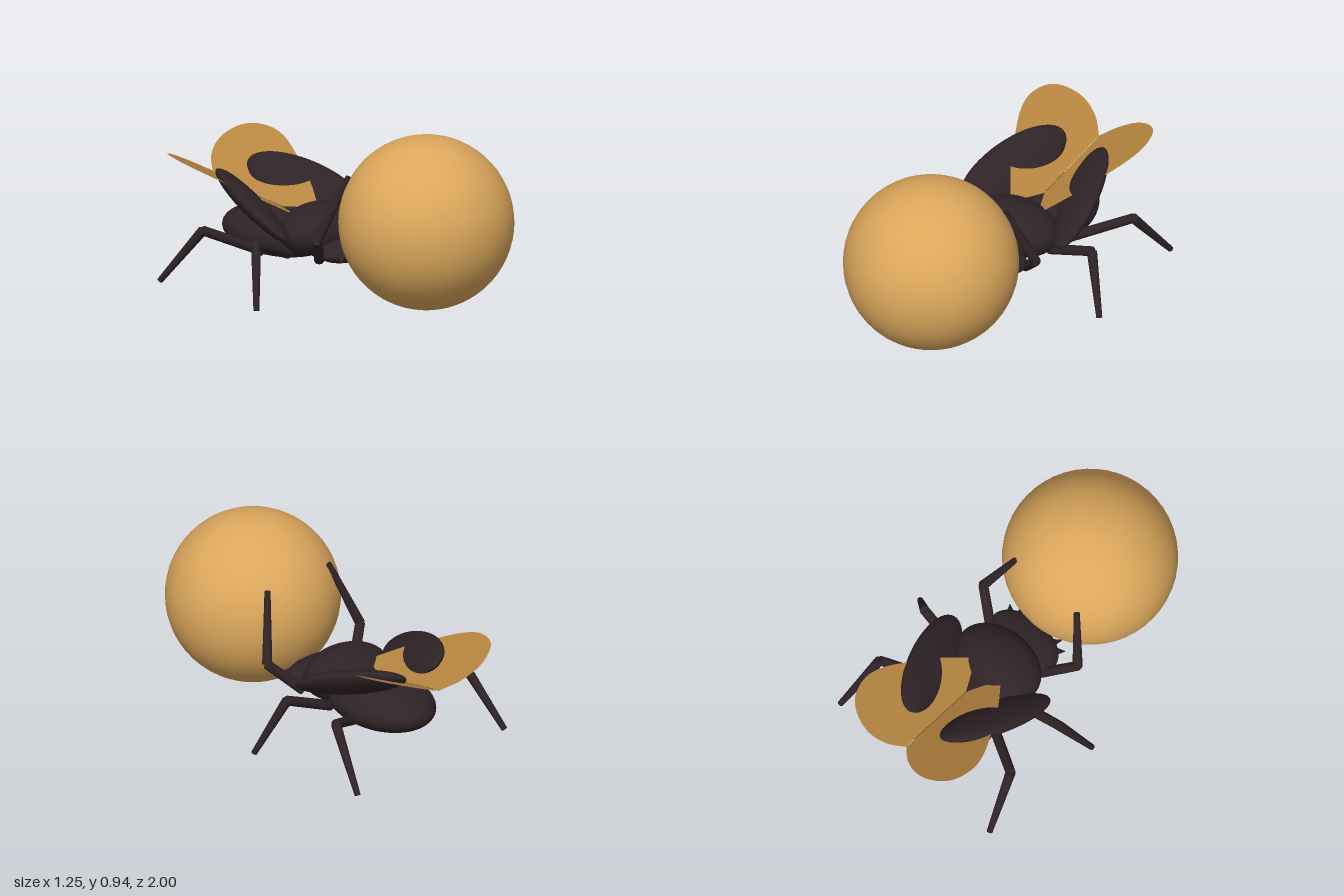
import * as THREE from 'three';

export function createModel() {
  const model = new THREE.Group();
  const shell = new THREE.MeshStandardMaterial({ color: 0x2e2326 });
  shell.name = 'dark shell';
  const dung = new THREE.MeshStandardMaterial({ color: 0xdba75c });
  dung.name = 'ball tan';
  const amber = new THREE.MeshStandardMaterial({ color: 0xb5853f, side: THREE.DoubleSide });
  amber.name = 'wing amber';

  const V = (x, y, z) => new THREE.Vector3(x, y, z);
  const add = (name, geometry, material) => {
    const mesh = new THREE.Mesh(geometry, material);
    mesh.name = name;
    model.add(mesh);
    return mesh;
  };
  const ellipsoid = (name, centre, radii, material = shell) => {
    const mesh = add(name, new THREE.SphereGeometry(1, 48, 32), material);
    mesh.position.copy(centre);
    mesh.scale.copy(radii);
    return mesh;
  };
  // Tapered rod from a to b
  const rod = (name, a, b, ra, rb) => {
    const dir = b.clone().sub(a);
    const mesh = add(name, new THREE.CylinderGeometry(rb, ra, dir.length(), 14), shell);
    mesh.position.copy(a).add(b).multiplyScalar(0.5);
    mesh.quaternion.setFromUnitVectors(V(0, 1, 0), dir.normalize());
  };

  // Rolled ball and body
  ellipsoid('ball', V(0, 0.478, 0.535), V(0.463, 0.463, 0.463), dung);
  ellipsoid('abdomen', V(0, 0.24, -0.445), V(0.24, 0.128, 0.34));
  ellipsoid('thorax', V(0, 0.3, -0.18), V(0.255, 0.135, 0.185));
  ellipsoid('head', V(0, 0.232, 0.02), V(0.215, 0.062, 0.13));

  // Teeth fanned along the front of the head
  for (let i = -3; i <= 3; i++) {
    const a = i * 0.3;
    const root = V(0.2 * Math.sin(a), 0.23, 0.02 + 0.105 * Math.cos(a));
    rod('headTooth', root, root.clone().add(V(0.05 * Math.sin(a), -0.012, 0.065 * Math.cos(a))), 0.024, 0.002);
  }

  // Legs: hip, knee, foot on the +x side
  const legs = [
    ['frontLeg', [0.18, 0.2, -0.04], [0.335, 0.365, 0.07], [0.22, 0.715, 0.19]],
    ['middleLeg', [0.18, 0.19, -0.25], [0.475, 0.32, -0.23], [0.61, 0.012, -0.12]],
    ['hindLeg', [0.18, 0.17, -0.42], [0.465, 0.32, -0.595], [0.53, 0.012, -0.83]],
  ];

  for (const s of [1, -1]) {
    for (const [name, ...points] of legs) {
      const [hip, knee, foot] = points.map(([x, y, z]) => V(s * x, y, z));
      rod(name + 'Upper', hip, knee, 0.028, 0.026);
      rod(name + 'Lower', knee, foot, 0.027, 0.016);
    }

    // Raised wing case, rolled so its outer edge is high
    const along = V(-0.21 * s, 0.215, -0.62).normalize();
    const across = V(Math.cos(0.6), s * Math.sin(0.6), 0);
    across.addScaledVector(along, -across.dot(along)).normalize();
    const wingCase = ellipsoid('wingCase', V(0.225 * s, 0.425, -0.453), V(0.143, 0.055, 0.337));
    wingCase.quaternion.setFromRotationMatrix(
      new THREE.Matrix4().makeBasis(across, along.clone().cross(across), along));

    // Thin wing: teardrop outline lifted into a sloping plane
    const outline = new THREE.Shape();
    outline.moveTo(0.09, 0.26);
    outline.splineThru([
      [0.2, 0.4], [0.29, 0.55], [0.36, 0.69], [0.38, 0.8], [0.35, 0.91], [0.28, 0.975],
      [0.18, 1.0], [0.08, 0.97], [0.001, 0.9],
    ].map(([x, y]) => new THREE.Vector2(x, y)));
    outline.lineTo(0.001, 0.43);
    outline.closePath();
    const wing = new THREE.ShapeGeometry(outline, 8);
    const p = wing.attributes.position;
    for (let i = 0; i < p.count; i++) {
      const x = p.getX(i), d = p.getY(i);
      p.setXYZ(i, s * x, 0.272 + 0.22 * d + 0.48 * x, -d);
    }
    // Keep the upper face as the front on both sides
    if (s < 0) wing.setIndex([...wing.index.array].reverse());
    wing.computeVertexNormals();
    add('wing', wing, amber);
  }
  return model;
}
